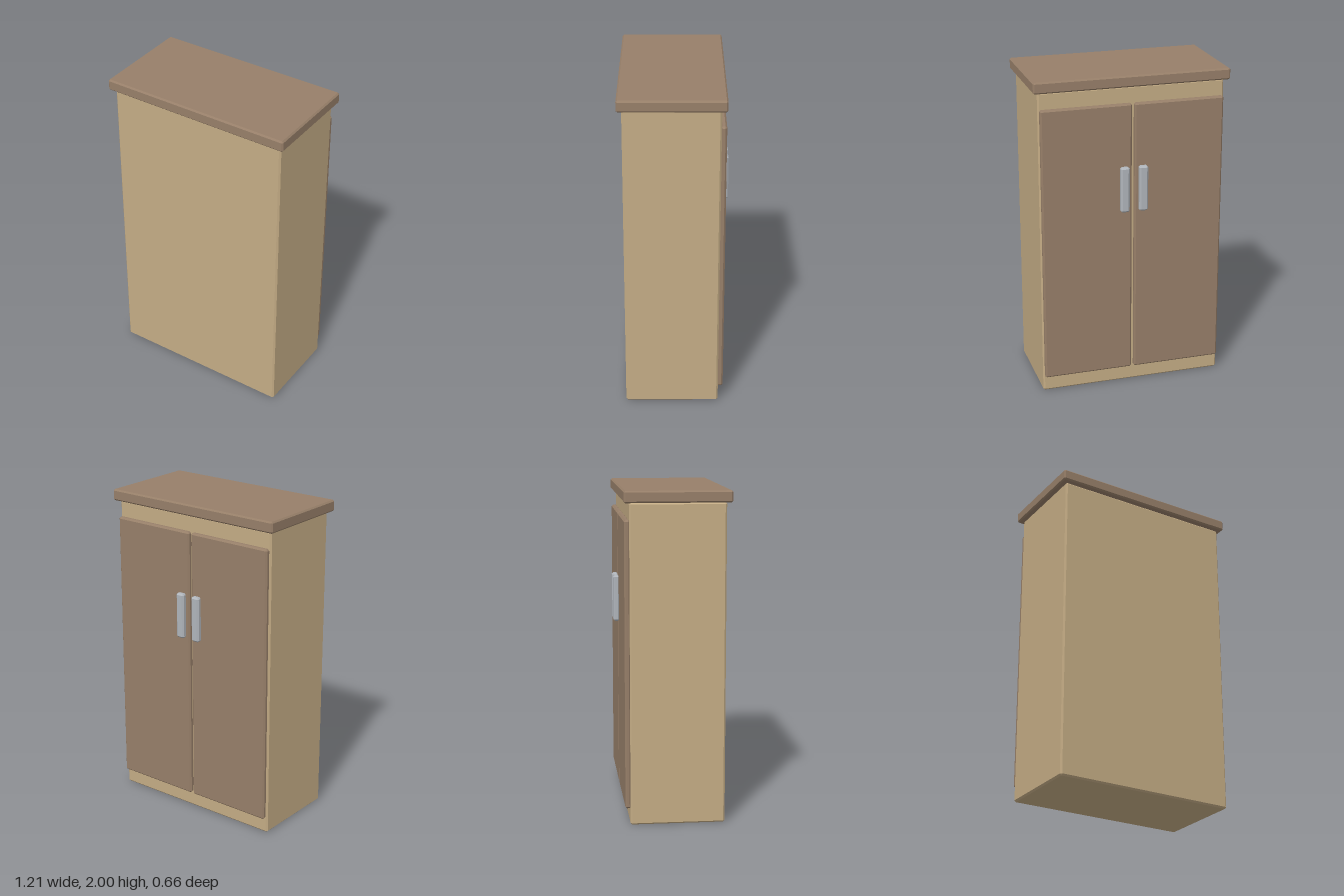
import * as THREE from 'three';
import { ConvexGeometry } from 'three/addons/geometries/ConvexGeometry.js';

// Box with flat chamfered edges, spanning min..max
function chamferBox(min, max, bevel) {
  const half = new THREE.Vector3(...max).sub(new THREE.Vector3(...min)).multiplyScalar(0.5);
  const points = [];
  for (const sx of [-1, 1]) for (const sy of [-1, 1]) for (const sz of [-1, 1]) {
    // each corner becomes three points, one on each adjoining face
    for (let axis = 0; axis < 3; axis++) {
      const inset = [bevel, bevel, bevel];
      inset[axis] = 0;
      points.push(new THREE.Vector3(
        sx * (half.x - inset[0]), sy * (half.y - inset[1]), sz * (half.z - inset[2])));
    }
  }
  return new ConvexGeometry(points);
}

export function createModel() {
  const group = new THREE.Group();
  const mat = (color) => new THREE.MeshStandardMaterial({ color, flatShading: true });
  const tan = mat(0xc4ac85), brown = mat(0x977f69), metal = mat(0xb0b5bb);

  function addPart(name, min, max, bevel, material) {
    const mesh = new THREE.Mesh(chamferBox(min, max, bevel), material);
    mesh.name = name;
    mesh.position.set(...min.map((v, i) => (v + max[i]) / 2));
    group.add(mesh);
  }

  // Carcass and overhanging top
  addPart('cabinetBody', [-0.575, 0, -0.27], [0.575, 1.93, 0.3], 0.01, tan);
  addPart('topBoard', [-0.605, 1.93, -0.303], [0.605, 2, 0.33], 0.009, brown);

  // Pair of doors with upright handles, on the -z side
  for (const [side, s] of [['left', 1], ['right', -1]]) {
    const span = (a, b) => [Math.min(s * a, s * b), Math.max(s * a, s * b)];
    const [d0, d1] = span(0.008, 0.567);
    addPart(side + 'Door', [d0, 0.1, -0.3], [d1, 1.83, -0.265], 0.01, brown);
    const [h0, h1] = span(0.03, 0.086);
    addPart(side + 'Handle', [h0, 1.16, -0.333], [h1, 1.445, -0.295], 0.01, metal);
  }
  return group;
}
